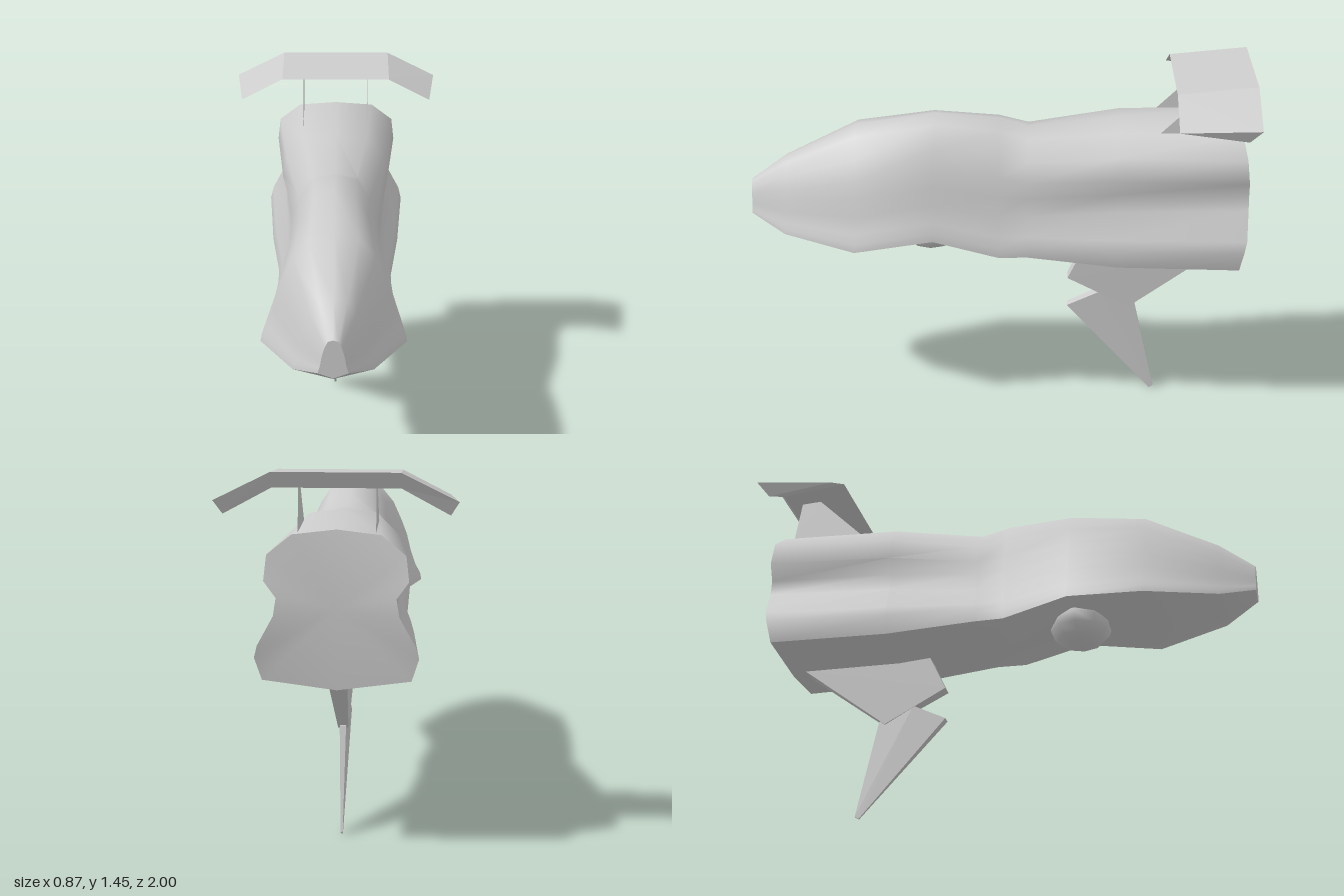
import * as THREE from 'three';
import { toCreasedNormals } from 'three/addons/utils/BufferGeometryUtils.js';
import { ConvexGeometry } from 'three/addons/geometries/ConvexGeometry.js';

const grey = new THREE.MeshStandardMaterial({ color: 0xcccccc });
const greyFlat = new THREE.MeshStandardMaterial({ color: 0xcccccc, flatShading: true });
const greyThin = new THREE.MeshStandardMaterial({ color: 0xcccccc, side: THREE.DoubleSide });

function addMesh(parent, name, geometry, material) {
  const mesh = new THREE.Mesh(geometry, material);
  mesh.name = name;
  parent.add(mesh);
  return mesh;
}

// Skin closed rings of [x, y, z] points, capping both ends.
// Rings run clockwise as seen from the direction of travel.
function loft(rings, crease) {
  const n = rings[0].length;
  const pos = rings.flat(2);
  const idx = [];
  for (let i = 0; i < rings.length - 1; i++) {
    for (let j = 0; j < n; j++) {
      const a = i * n + j, b = i * n + (j + 1) % n, c = b + n, d = a + n;
      idx.push(a, d, c, a, c, b);
    }
  }
  for (const end of [0, rings.length - 1]) {
    const c = pos.length / 3;
    pos.push(...[0, 1, 2].map((q) => rings[end].reduce((s, p) => s + p[q], 0) / n));
    for (let j = 0; j < n; j++) {
      const a = end * n + j, b = end * n + (j + 1) % n;
      if (end === 0) idx.push(c, a, b);
      else idx.push(c, b, a);
    }
  }
  const geo = new THREE.BufferGeometry();
  geo.setAttribute('position', new THREE.Float32BufferAttribute(pos, 3));
  geo.setIndex(idx);
  return toCreasedNormals(geo, crease);
}

// Convex plate in the z-y plane from [z, y, halfThickness] corners.
function plate(corners) {
  return new ConvexGeometry(corners.flatMap(([z, y, t]) => [
    new THREE.Vector3(t, y, z), new THREE.Vector3(-t, y, z),
  ]));
}

// Unit side profiles from crown to lower edge: width and height fractions
const NOSE = {
  w: [0, 0.34, 0.56, 0.68, 0.77, 0.83, 0.91, 0.98, 1],
  h: [1, 0.955, 0.78, 0.61, 0.46, 0.3, 0.15, 0.07, 0],
};
const TAIL = {
  w: [0, 0.54, 0.84, 0.875, 0.725, 0.76, 0.96, 1, 0.91],
  h: [1, 0.97, 0.84, 0.67, 0.56, 0.44, 0.24, 0.155, 0],
};

// Hull stations: z, half width, crown y, lower edge y, keel y, share of tail profile
const STATIONS = [
  [-0.945, 0.297, 1.24, 0.69, 0.65, 1],
  [-0.48, 0.27, 1.24, 0.69, 0.65, 0.75],
  [-0.12, 0.235, 1.195, 0.72, 0.68, 0.3],
  [0, 0.235, 1.23, 0.72, 0.675, 0.15],
  [0.26, 0.237, 1.25, 0.79, 0.78, 0],
  [0.57, 0.28, 1.2, 0.76, 0.72, 0],
  [0.86, 0.15, 1.06, 0.78, 0.74, 0],
  [1, 0.055, 0.96, 0.83, 0.81, 0],
];

function hullRing([z, width, crown, edge, keel, tail], station) {
  const { lerp } = THREE.MathUtils;
  const half = NOSE.w.map((w, j) => [
    width * lerp(w, TAIL.w[j], tail),
    lerp(edge, crown, lerp(NOSE.h[j], TAIL.h[j], tail)),
    // the stern face bows slightly backwards
    station === 0 ? z - 0.045 * Math.sin(Math.PI * j / 9) : z,
  ]);
  const mirrored = half.slice(1).reverse().map(([x, y, d]) => [-x, y, d]);
  return [...half, [0, keel, z], ...mirrored];
}

export function createModel() {
  const model = new THREE.Group();
  model.name = 'spacecraft';

  addMesh(model, 'hull', loft(STATIONS.map(hullRing), 0.85), grey);

  // Rounded pod under the belly
  const pod = addMesh(model, 'bellyPod', new THREE.SphereGeometry(1, 10, 8), grey);
  pod.scale.set(0.145, 0.1, 0.13);
  pod.position.set(0, 0.77, 0.275);

  // Ventral fin: thick root and thin swept blade
  addMesh(model, 'ventralFinRoot', plate([
    [-0.35, 0.67, 0.035], [-0.285, 0.53, 0.028], [-0.54, 0.395, 0.02], [-0.89, 0.66, 0.035],
  ]), greyFlat);
  addMesh(model, 'ventralFinBlade', plate([
    [-0.285, 0.4, 0.02], [-0.42, 0.465, 0.022], [-0.565, 0.41, 0.012],
    [-0.657, 0.01, 0.004], [-0.64, 0, 0.004],
  ]), greyFlat);

  // Rear wing: wedge section, sharp in front, with drooping tips
  const tip = (s) => [[s * 0.435, 1.35, -1], [s * 0.405, 1.295, -0.955], [s * 0.405, 1.33, -0.69]];
  const knee = (s) => [[s * 0.23, 1.452, -1], [s * 0.23, 1.39, -0.955], [s * 0.23, 1.42, -0.69]];
  addMesh(model, 'rearWing', loft([tip(-1), knee(-1), knee(1), tip(1)], 0.2), greyFlat);

  // Thin pylons carrying the wing
  const outline = [[-0.635, 1.22], [-0.82, 1.4], [-0.9, 1.395], [-0.93, 1.22]];
  const pylonShape = new THREE.Shape(outline.map(([z, y]) => new THREE.Vector2(-z, y)));
  for (const [name, side] of [['leftPylon', 1], ['rightPylon', -1]]) {
    const pylon = addMesh(model, name, new THREE.ShapeGeometry(pylonShape), greyThin);
    pylon.rotation.y = Math.PI / 2;
    pylon.position.x = side * 0.14;
  }

  return model;
}
